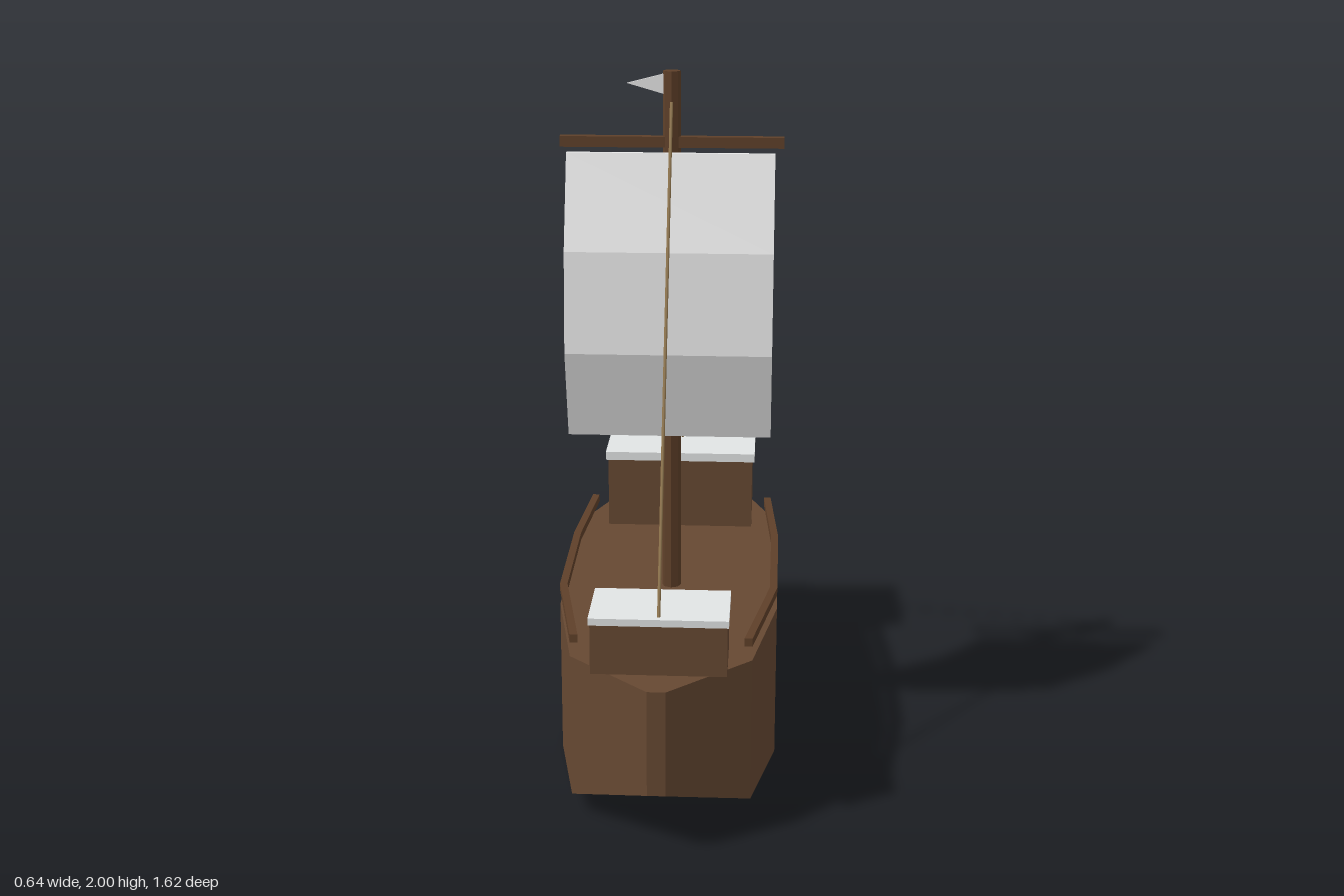
import * as THREE from 'three';

const mat = (name, color, extra = {}) => {
  const m = new THREE.MeshStandardMaterial({ color, ...extra });
  m.name = name;
  return m;
};

// Skin a row of four-cornered cross-sections, with flat faces and closed ends
function loft(rings) {
  const pos = [];
  const quad = (a, b, c, d) => [a, b, c, a, c, d].forEach(p => pos.push(...p));
  for (let i = 0; i < rings.length - 1; i++) {
    const a = rings[i], b = rings[i + 1];
    for (let j = 0; j < 4; j++) {
      const k = (j + 1) % 4;
      quad(a[j], b[j], b[k], a[k]);
    }
  }
  quad(...rings[0]);
  quad(...[...rings[rings.length - 1]].reverse());
  const g = new THREE.BufferGeometry();
  g.setAttribute('position', new THREE.Float32BufferAttribute(pos, 3));
  g.computeVertexNormals();
  return g;
}

// Rectangle across the ship at z
const crossSection = (x0, x1, y0, y1, z) => [[x1, y1, z], [x0, y1, z], [x0, y0, z], [x1, y0, z]];

export function createModel() {
  const wood = mat('hull wood', 0x664832);
  const spar = mat('spar wood', 0x5f4029);
  const cloth = mat('sail cloth', 0xe8e8e8);
  const roof = mat('roof paint', 0xe2e5e5);
  const hemp = mat('rope', 0x8f744a);

  const model = new THREE.Group();
  model.name = 'sailingShip';
  const ship = new THREE.Group();
  ship.name = 'ship';
  ship.rotation.x = -0.0175; // bow rides slightly high
  model.add(ship);

  const add = (name, geometry, material) => {
    const m = new THREE.Mesh(geometry, material);
    m.name = name;
    ship.add(m);
    return m;
  };
  const box = (name, material, x, y0, y1, z0, z1) => {
    const m = add(name, new THREE.BoxGeometry(2 * x, y1 - y0, z1 - z0), material);
    m.position.set(0, (y0 + y1) / 2, (z0 + z1) / 2);
  };

  // Hull: z, half width, keel height
  const DECK = 0.47;
  const stations = [
    [0.813, 0.025, 0.166], [0.6, 0.25, 0.049], [0.238, 0.317, 0.011],
    [-0.18, 0.32, 0.004], [-0.54, 0.295, 0.029], [-0.74, 0.218, 0.113],
  ];
  add('hull', loft(stations.map(([z, x, y]) => crossSection(-x, x, y, DECK, z))), wood);

  // Rails along both sides
  for (const [name, s] of [['leftRail', 1], ['rightRail', -1]]) {
    const rings = stations.slice(1, 5).map(([z, x]) => {
      const outer = s * x, inner = s * (x - 0.022);
      return crossSection(Math.min(outer, inner), Math.max(outer, inner), 0.511, 0.535, z);
    });
    add(name, loft(rings), spar);
  }

  // Raised cabins with overhanging roofs
  box('sternCabin', wood, 0.233, DECK, 0.695, -0.741, -0.437);
  box('sternRoof', roof, 0.241, 0.693, 0.72, -0.748, -0.432);
  box('bowCabin', wood, 0.184, DECK, 0.615, 0.513, 0.71);
  box('bowRoof', roof, 0.188, 0.613, 0.633, 0.503, 0.716);
  box('rudder', wood, 0.016, 0.025, 0.59, -0.797, -0.735);

  // Mast and yard
  const MAST_Z = 0.067;
  const mast = add('mast', new THREE.CylinderGeometry(0.025, 0.028, 2 - DECK, 8).toNonIndexed(), spar);
  mast.geometry.computeVertexNormals();
  mast.position.set(0, (2 + DECK) / 2, MAST_Z);
  box('yard', spar, 0.315, 1.788, 1.818, MAST_Z - 0.015, MAST_Z + 0.015);

  // Billowing sail: height and front surface z
  const sailProfile = [[1.782, 0.143], [1.521, 0.239], [1.236, 0.264], [0.977, 0.19]];
  add('sail', loft(sailProfile.map(([y, z]) => [
    [0.29, y, z - 0.014], [-0.29, y, z - 0.014], [-0.29, y, z], [0.29, y, z],
  ])), cloth);

  // Pennant at the masthead
  const pennant = new THREE.Shape([
    new THREE.Vector2(-0.02, 1.935), new THREE.Vector2(-0.02, 1.992), new THREE.Vector2(-0.125, 1.965),
  ]);
  const flag = add('flag', new THREE.ExtrudeGeometry(pennant, { depth: 0.01, bevelEnabled: false }), cloth);
  flag.position.z = MAST_Z - 0.006;

  // Stays from the mast to the cabin roofs
  const rope = (name, y0, z0, y1, z1) => {
    const a = new THREE.Vector3(0, y0, z0), b = new THREE.Vector3(0, y1, z1);
    const m = add(name, new THREE.CylinderGeometry(0.005, 0.005, a.distanceTo(b), 6), hemp);
    m.position.addVectors(a, b).multiplyScalar(0.5);
    m.quaternion.setFromUnitVectors(new THREE.Vector3(0, 1, 0), b.sub(a).normalize());
  };
  rope('foreStay', 0.628, 0.696, 1.915, 0.09);
  rope('backStay', 0.715, -0.613, 1.92, 0.045);

  return model;
}
